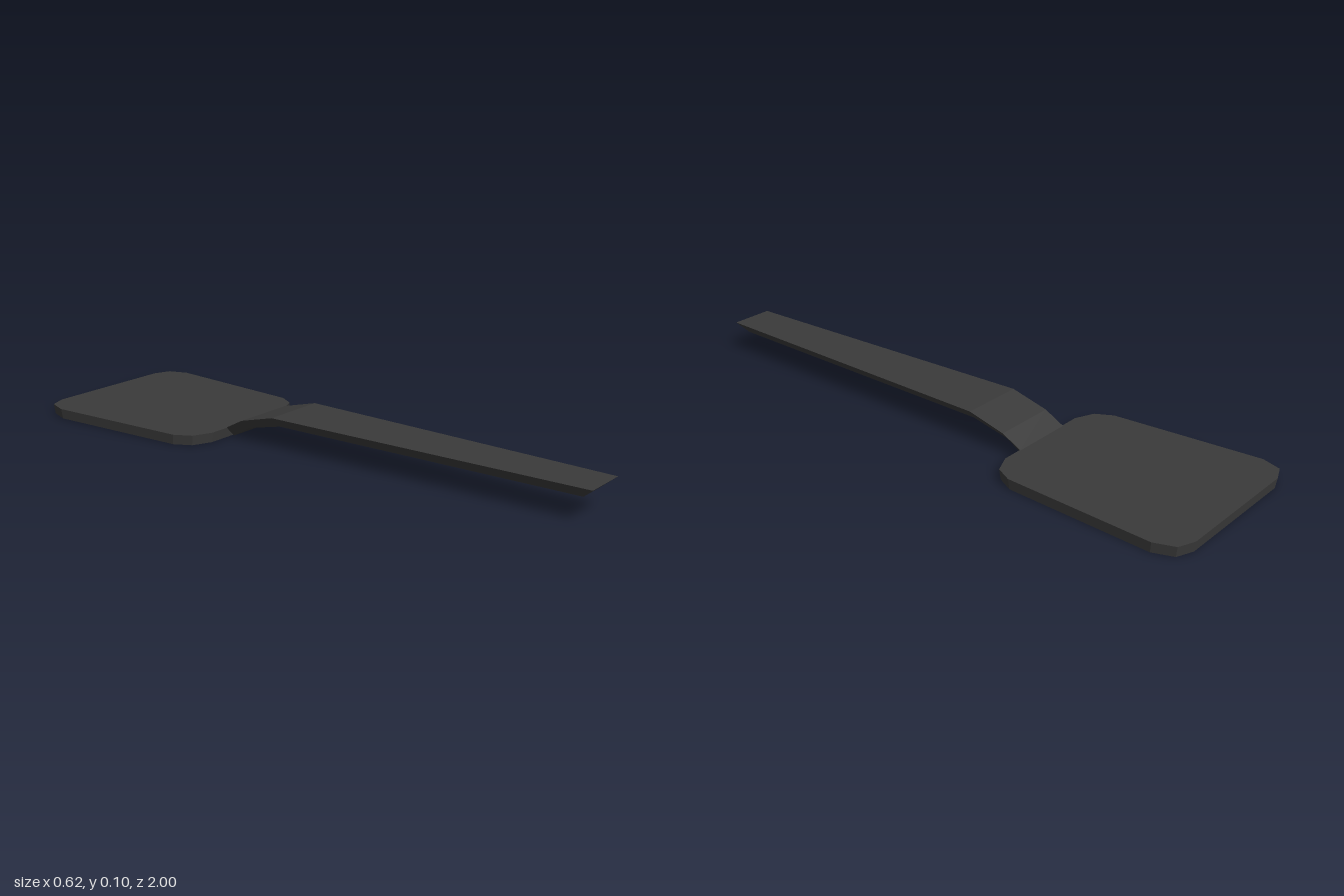
import * as THREE from 'three';

// Closed solid skinned through convex rings, counter-clockwise about the loft direction
function loft(rings) {
  const pos = [];
  const tri = (a, b, c) => pos.push(...a, ...b, ...c);
  const n = rings[0].length;
  for (let r = 0; r < rings.length - 1; r++) {
    const a = rings[r], b = rings[r + 1];
    for (let i = 0; i < n; i++) {
      const j = (i + 1) % n;
      tri(a[i], a[j], b[j]);
      tri(a[i], b[j], b[i]);
    }
  }
  const first = rings[0], last = rings[rings.length - 1];
  for (let i = 1; i < n - 1; i++) {
    tri(first[0], first[i + 1], first[i]);
    tri(last[0], last[i], last[i + 1]);
  }
  const geo = new THREE.BufferGeometry();
  geo.setAttribute('position', new THREE.Float32BufferAttribute(pos, 3));
  geo.computeVertexNormals();
  return geo;
}

export function createModel() {
  const group = new THREE.Group();
  const black = new THREE.MeshStandardMaterial({ color: 0x3a3a3a, flatShading: true });
  black.name = 'charcoal';

  const add = (name, rings) => {
    const mesh = new THREE.Mesh(loft(rings), black);
    mesh.name = name;
    group.add(mesh);
  };

  // Flat blade with clipped corners, edges drawn in slightly towards the underside
  const half = [[0.18, -0.315], [0.245, -0.343], [0.276, -0.40], [0.31, -0.91], [0.286, -0.977], [0.23, -1]];
  const outline = [...half, ...half.map(([x, z]) => [-x, z]).reverse()];
  const bladeRing = (y, sx, sz) => outline.map(([x, z]) => [x * sx, y, -0.657 + (z + 0.657) * sz]);
  add('blade', [bladeRing(0, 0.99, 0.985), bladeRing(0.034, 1, 1)]);

  // Tapered handle, stepping down to the blade, with bevelled underside
  // [top half width, top y, top z, bottom half width, bottom y, bottom z]
  const sections = [
    [0.11, 0.034, -0.318, 0.08, 0, -0.312],
    [0.11, 0.07, -0.25, 0.08, 0.04, -0.243],
    [0.11, 0.104, -0.12, 0.08, 0.07, -0.112],
    [0.075, 0.104, 1, 0.05, 0.07, 0.96],
  ];
  add('handle', sections.map(([tw, ty, tz, bw, by, bz]) => [
    [-bw, by, bz], [bw, by, bz], [tw, ty, tz], [-tw, ty, tz],
  ]));

  return group;
}
